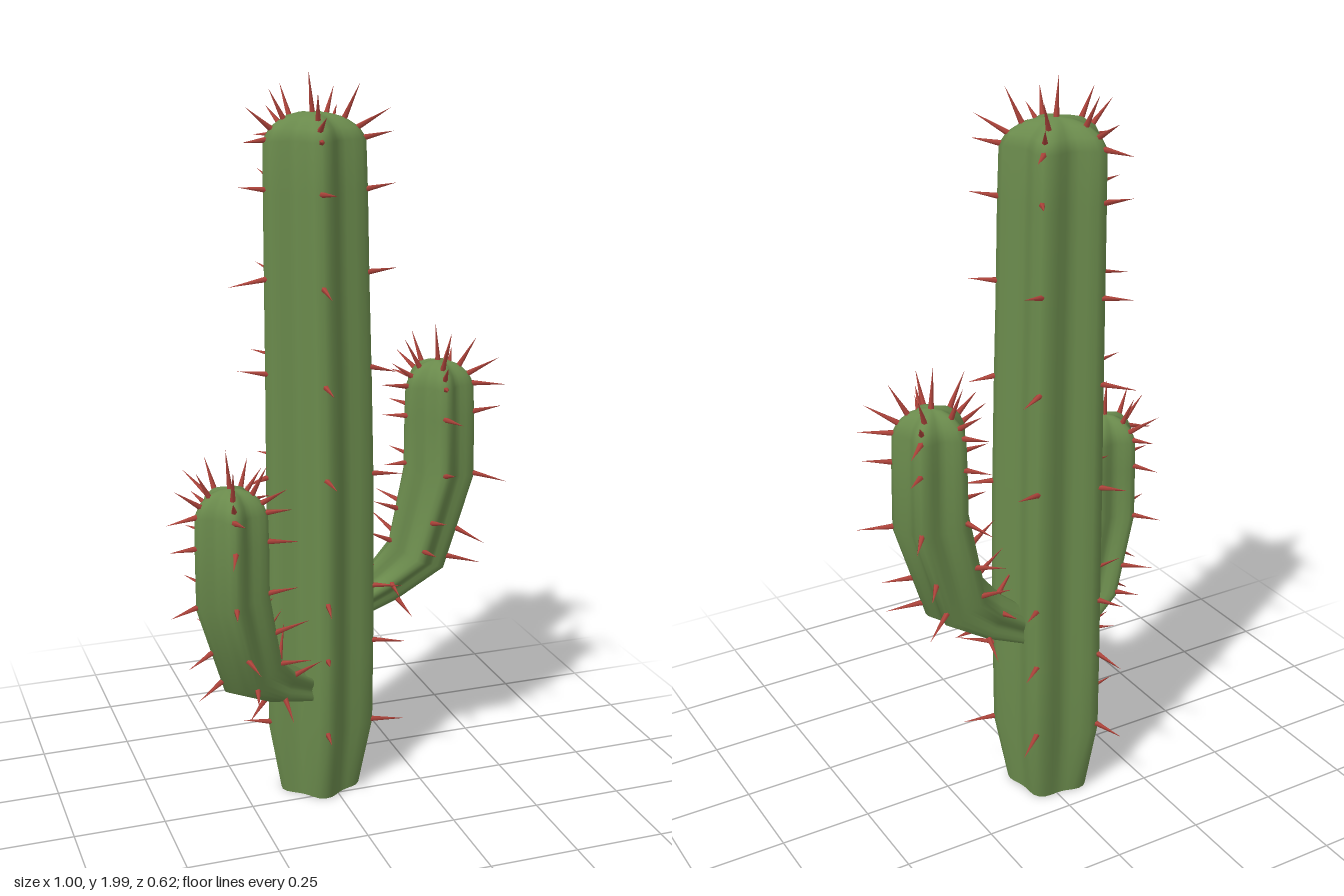
import * as THREE from 'three';
import { mergeGeometries } from 'three/addons/utils/BufferGeometryUtils.js';

const RIBS = 5, SEG = 40, PHASE = THREE.MathUtils.degToRad(26);
const UP = new THREE.Vector3(0, 1, 0);
const skin = new THREE.MeshStandardMaterial({ color: 0x6a8a4c });
const thorn = new THREE.MeshStandardMaterial({ color: 0xb0453c });

// Small seeded generator, returns -1..1
let seed = 7;
const rnd = () => {
  seed = (seed * 16807) % 2147483647;
  return (seed / 2147483647) * 2 - 1;
};

// Rings [x, y, z, radius] -> centre, radius and a frame square to the path
function makeRings(list) {
  const c = list.map((r) => new THREE.Vector3(r[0], r[1], r[2]));
  return list.map((r, i) => {
    const before = c[Math.max(i - 1, 0)], after = c[Math.min(i + 1, c.length - 1)];
    const tangent = after.clone().sub(before).normalize();
    return { c: c[i], r: r[3], q: new THREE.Quaternion().setFromUnitVectors(UP, tangent) };
  });
}

// Shoulder and crown rings that round off a stem of radius r at height top
const dome = (x, top, z, r) => [
  [x, top - 0.065, z, r], [x, top - 0.035, z, r * 0.86],
  [x, top - 0.012, z, r * 0.6], [x, top - 0.002, z, r * 0.3], [x, top, z, 0.001],
];

// Ribbed skin: star section lofted through the rings, with a flat start cap
function stemGeometry(rings, startValley) {
  const pos = [], idx = [];
  const addRing = (ring, valley) => {
    for (let i = 0; i < SEG; i++) {
      const a = (i / SEG) * Math.PI * 2;
      const k = Math.pow((1 + Math.cos(RIBS * a)) / 2, 1.15);
      const rad = ring.r * (valley + (1 - valley) * k);
      const p = new THREE.Vector3(Math.cos(a + PHASE) * rad, 0, Math.sin(a + PHASE) * rad);
      pos.push(...p.applyQuaternion(ring.q).add(ring.c).toArray());
    }
  };
  rings.forEach((ring, k) => addRing(ring, k === 0 ? startValley : 0.7));
  for (let k = 0; k < rings.length - 1; k++) {
    for (let i = 0; i < SEG; i++) {
      const j = (i + 1) % SEG, a = k * SEG, b = a + SEG;
      idx.push(a + i, b + i, a + j, a + j, b + i, b + j);
    }
  }
  const base = pos.length / 3;
  addRing(rings[0], startValley);
  pos.push(...rings[0].c.toArray());
  for (let i = 0; i < SEG; i++) idx.push(base + SEG, base + i, base + ((i + 1) % SEG));
  const g = new THREE.BufferGeometry();
  g.setAttribute('position', new THREE.Float32BufferAttribute(pos, 3));
  g.setIndex(idx);
  g.computeVertexNormals();
  return g;
}

// One thin cone standing at a point along a direction
function spine(point, dir, length) {
  const g = new THREE.ConeGeometry(0.008, length, 5);
  g.translate(0, length / 2 - 0.005, 0);
  g.applyQuaternion(new THREE.Quaternion().setFromUnitVectors(UP, dir.normalize()));
  return g.translate(point.x, point.y, point.z);
}

// Spines on each rib at the given ring positions, plus a crown on the dome
function spineGeometry(rings, rows, length) {
  const parts = [];
  const ribDir = (i, q) => {
    const a = PHASE + (i / RIBS) * Math.PI * 2;
    return new THREE.Vector3(Math.cos(a), 0, Math.sin(a)).applyQuaternion(q);
  };
  for (const row of rows) {
    for (let i = 0; i < RIBS; i++) {
      const t = row + rnd() * 0.06, k = Math.floor(t), f = t - k;
      const A = rings[k], B = rings[k + 1];
      const q = A.q.clone().slerp(B.q, f);
      const out = ribDir(i, q);
      const p = A.c.clone().lerp(B.c, f).addScaledVector(out, THREE.MathUtils.lerp(A.r, B.r, f));
      const dir = out.add(new THREE.Vector3(rnd() * 0.3, 0.05 + rnd() * 0.22, rnd() * 0.3));
      parts.push(spine(p, dir, length * (1 + rnd() * 0.2)));
    }
  }
  const n = rings.length;
  [[n - 4, 0.7], [n - 3, 1.8]].forEach(([k, lift]) => {
    for (let i = 0; i < RIBS; i++) {
      const out = ribDir(i, rings[k].q);
      const p = rings[k].c.clone().addScaledVector(out, rings[k].r);
      const dir = out.add(new THREE.Vector3(rnd() * 0.2, lift, rnd() * 0.2));
      parts.push(spine(p, dir, length * (1 + rnd() * 0.15)));
    }
  });
  const top = rings[n - 1].c;
  parts.push(spine(top, new THREE.Vector3(-0.1, 1, 0.05), length * 1.25));
  return mergeGeometries(parts);
}

function stem(name, list, rows, length, startValley = 0.7) {
  const rings = makeRings(list);
  const group = new THREE.Group();
  group.name = name;
  const body = new THREE.Mesh(stemGeometry(rings, startValley), skin);
  body.name = name + 'Skin';
  const spines = new THREE.Mesh(spineGeometry(rings, rows, length), thorn);
  spines.name = name + 'Spines';
  group.add(body, spines);
  return group;
}

export function createModel() {
  seed = 7;
  const model = new THREE.Group();
  model.name = 'cactus';

  // Trunk, tapered at the foot and leaning very slightly
  const trunk = [
    [-0.028, 0, -0.09, 0.115], [-0.028, 0.2, -0.09, 0.154], [-0.028, 0.43, -0.089, 0.155],
    [-0.028, 0.59, -0.088, 0.155], [-0.029, 0.92, -0.088, 0.153], [-0.032, 1.2, -0.087, 0.149],
    [-0.036, 1.45, -0.086, 0.145], [-0.039, 1.69, -0.085, 0.142],
    ...dome(-0.041, 1.888, -0.085, 0.139),
  ];
  model.add(stem('trunk', trunk, [1.07, 2.07, 3.07, 4.07, 5.07, 6.07, 7.07, 8.07], 0.088, 0.82));

  // Higher arm on the left
  const leftArm = [
    [0.06, 0.518, -0.11, 0.048], [0.165, 0.58, -0.105, 0.066], [0.26, 0.655, -0.1, 0.092],
    [0.323, 0.9, -0.097, 0.105], [0.322, 1.06, -0.097, 0.102],
    ...dome(0.321, 1.212, -0.097, 0.099),
  ];
  model.add(stem('leftArm', leftArm, [1.1, 2.08, 2.45, 3.07, 4.07, 5.1], 0.088));

  // Lower arm on the right, swinging forward
  const rightArm = [
    [-0.08, 0.33, -0.01, 0.042], [-0.18, 0.385, 0.04, 0.062], [-0.272, 0.452, 0.088, 0.088],
    [-0.33, 0.68, 0.114, 0.101], [-0.33, 0.83, 0.115, 0.1],
    ...dome(-0.33, 0.978, 0.115, 0.098),
  ];
  model.add(stem('rightArm', rightArm, [1.1, 2.08, 2.45, 3.07, 4.07, 5.1], 0.088));

  return model;
}
